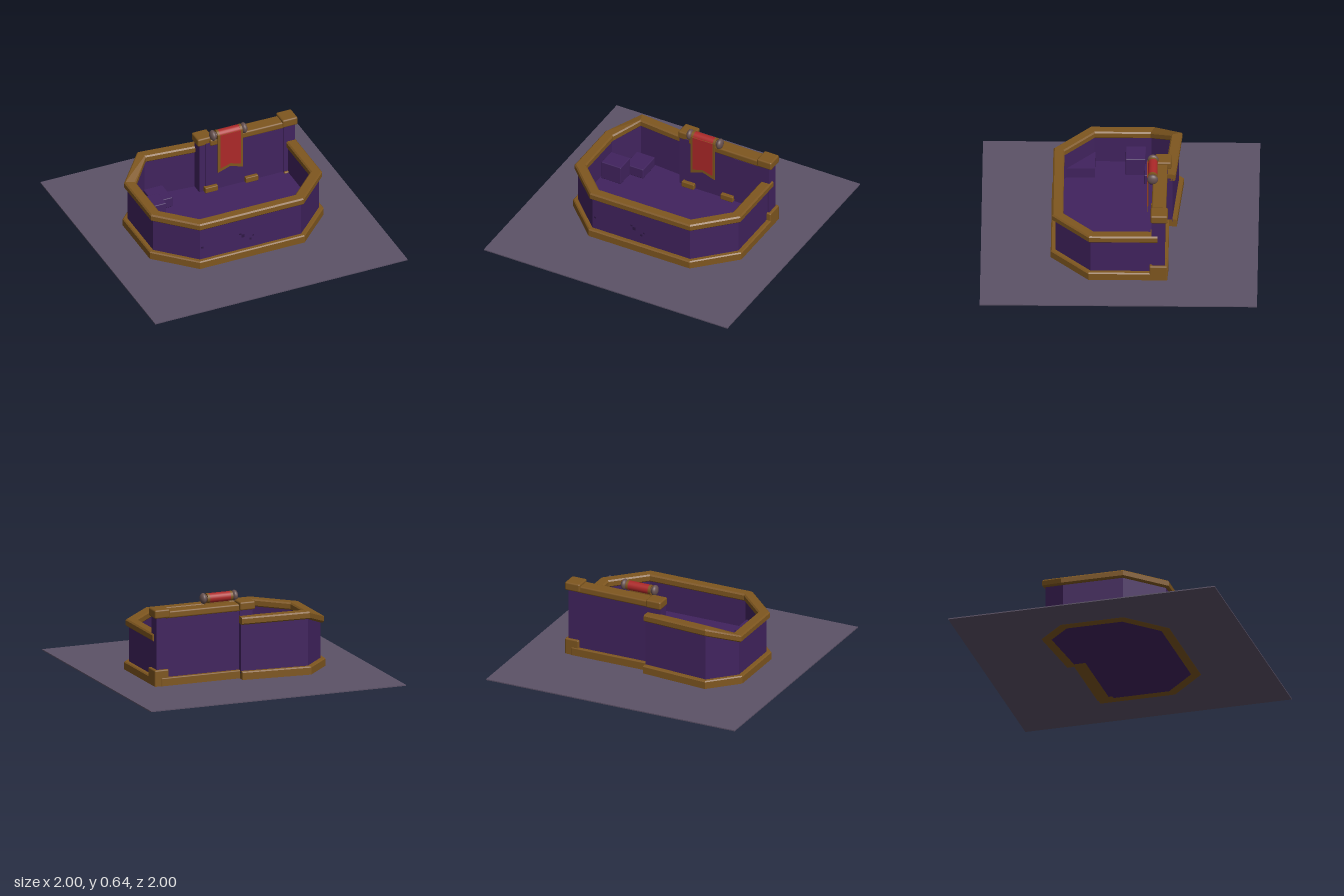
import * as THREE from 'three';
import { RoundedBoxGeometry } from 'three/addons/geometries/RoundedBoxGeometry.js';

// Outer footprint of the low wall, from the right end round the front to the back
const PATH = [[0.69, -0.28], [0.69, 0.22], [0.415, 0.495], [-0.415, 0.495],
  [-0.69, 0.225], [-0.69, -0.25], [-0.49, -0.455], [0.03, -0.41]];
// Extra height of the wall top at each path point
const RISE = [0, 0, 0, 0, 0, 0, 0.09, 0.085];

// Mitred inward offset of the path
function offsetPath(d) {
  const normal = (a, b) => {
    const l = Math.hypot(b[0] - a[0], b[1] - a[1]);
    return [-(b[1] - a[1]) / l, (b[0] - a[0]) / l];
  };
  return PATH.map((p, i) => {
    const m = normal(PATH[Math.max(i, 1) - 1], PATH[Math.max(i, 1)]);
    const j = Math.min(i, PATH.length - 2);
    const n = normal(PATH[j], PATH[j + 1]);
    const k = d / (1 + m[0] * n[0] + m[1] * n[1]);
    return [p[0] + (m[0] + n[0]) * k, p[1] + (m[1] + n[1]) * k];
  });
}

// Sweeps a bevelled rectangle (d0..d1 inward, y0..y1 up) along the path
function bandGeometry(d0, d1, y0, y1, bevel, riseBottom, riseTop) {
  const b = bevel;
  const section = [[d0 + b, y0, 0], [d0, y0 + b, 0], [d0, y1 - b, 1], [d0 + b, y1, 1],
    [d1 - b, y1, 1], [d1, y1 - b, 1], [d1, y0 + b, 0], [d1 - b, y0, 0]];
  const rails = section.map(([d, y, top]) => offsetPath(d).map((p, i) =>
    [p[0], y + RISE[i] * (top ? riseTop : riseBottom), p[1]]));
  const n = section.length, last = PATH.length - 1, pos = [];
  const tri = (...v) => v.forEach((p) => pos.push(...p));
  for (let i = 0; i < last; i++) {
    for (let j = 0; j < n; j++) {
      const s = rails[j], t = rails[(j + 1) % n];
      tri(s[i], t[i], t[i + 1]);
      tri(s[i], t[i + 1], s[i + 1]);
    }
  }
  for (let j = 1; j < n - 1; j++) {
    tri(rails[0][0], rails[j + 1][0], rails[j][0]);
    tri(rails[0][last], rails[j][last], rails[j + 1][last]);
  }
  const g = new THREE.BufferGeometry();
  g.setAttribute('position', new THREE.Float32BufferAttribute(pos, 3));
  g.computeVertexNormals();
  return g;
}

// Flat slab from an x/z outline
function slabGeometry(points, y0, y1) {
  const shape = new THREE.Shape(points.map(([x, z]) => new THREE.Vector2(x, -z)));
  const g = new THREE.ExtrudeGeometry(shape, { depth: y1 - y0, bevelEnabled: false });
  return g.rotateX(-Math.PI / 2).translate(0, y0, 0);
}

export function createModel() {
  const model = new THREE.Group();
  const mat = (name, color) => {
    const m = new THREE.MeshStandardMaterial({ color });
    m.name = name;
    return m;
  };
  const ground = mat('dusk grey', 0x5c5267);
  const purple = mat('deep purple', 0x41235e);
  const dark = mat('shadow purple', 0x2e1845);
  const wood = mat('golden wood', 0x7e561f);
  const red = mat('banner red', 0xac2828);
  const stone = mat('rod brown', 0x66504f);

  const add = (name, geometry, material, parent = model) => {
    const m = new THREE.Mesh(geometry, material);
    m.name = name;
    parent.add(m);
    return m;
  };
  // Box given by its limits, with optional rounding
  const box = (name, [x0, x1], [y0, y1], [z0, z1], material, r = 0) => {
    const s = [x1 - x0, y1 - y0, z1 - z0];
    const g = r ? new RoundedBoxGeometry(...s, 2, r) : new THREE.BoxGeometry(...s);
    g.translate((x0 + x1) / 2, (y0 + y1) / 2, (z0 + z1) / 2);
    return add(name, g, material);
  };

  // Ground and floor; the floor and footing show through underneath
  box('ground', [-1, 1], [0.002, 0.01], [-1, 1], ground);
  add('floor', slabGeometry([...offsetPath(0.07), [0.03, -0.27]], 0.0005, 0.12), purple);

  // Low wall with footing and rim
  add('footing', bandGeometry(0, 0.08, 0, 0.07, 0.008, 0, 0), wood);
  add('lowWall', bandGeometry(0.033, 0.078, 0.05, 0.35, 0.002, 0, 1), purple);
  add('rim', bandGeometry(0.01, 0.09, 0.33, 0.385, 0.01, 1, 1), wood);

  // Tall back wall
  box('tallWall', [-0.03, 0.64], [0.05, 0.53], [-0.33, -0.25], purple);
  box('tallFooting', [-0.02, 0.64], [0, 0.07], [-0.355, -0.25], wood, 0.008);
  box('leftPost', [-0.078, 0.02], [0.05, 0.53], [-0.345, -0.258], purple);
  box('rightPost', [0.58, 0.67], [0.05, 0.53], [-0.332, -0.235], purple);
  box('rightPostFooting', [0.58, 0.69], [0, 0.13], [-0.35, -0.22], wood, 0.01);
  const rail = box('tallRail', [0, 0.6], [0.505, 0.558], [-0.345, -0.24], wood, 0.012);
  rail.rotation.y = -0.01;
  box('leftCap', [-0.09, 0.03], [0.515, 0.577], [-0.37, -0.255], wood, 0.012);
  box('rightCap', [0.57, 0.69], [0.513, 0.577], [-0.352, -0.228], wood, 0.012);
  box('wallPanel', [0.37, 0.585], [0.14, 0.5], [-0.25, -0.245], purple);
  for (const x of [-0.045, 0.275]) {
    box('footPlank', [x, x + 0.1], [0.12, 0.165], [-0.26, -0.222], wood, 0.006);
  }

  // Crates and corner benches
  box('tallCrate', [-0.6, -0.44], [0.12, 0.265], [-0.18, -0.035], purple, 0.006);
  box('lowCrate', [-0.48, -0.33], [0.12, 0.2], [-0.35, -0.17], purple, 0.006);
  box('smallCrate', [0.25, 0.375], [0.12, 0.2], [0.325, 0.41], purple, 0.006);
  add('leftBench', slabGeometry([[-0.62, 0.185], [-0.41, 0.185], [-0.41, 0.43], [-0.62, 0.225]], 0.12, 0.2), purple);
  add('rightBench', slabGeometry([[0.62, 0.22], [0.4, 0.22], [0.4, 0.43]], 0.12, 0.2), purple);

  // Nicks in the front wall
  const nicks = [[-0.06, 0.18, 0.025], [-0.38, 0.167, 0.014], [0.02, 0.165, 0.012], [0, 0.14, 0.016], [-0.08, 0.2, 0.012]];
  for (const [x, y, s] of nicks) {
    box('nick', [x - s / 2, x + s / 2], [y - s / 2, y + s / 2], [0.458, 0.464], dark);
  }

  // Banner rolled over a rod
  const banner = new THREE.Group();
  banner.name = 'banner';
  banner.position.set(0.142, 0.6, -0.238);
  model.add(banner);
  const rod = (name, r, length, x, material) => add(name,
    new THREE.CylinderGeometry(r, r, length, 20).rotateZ(Math.PI / 2).translate(x, 0, 0), material, banner);
  rod('rod', 0.024, 0.26, 0, stone);
  rod('clothRoll', 0.035, 0.165, 0, red);
  for (const side of [-1, 1]) {
    rod('rollTrim', 0.036, 0.018, side * 0.09, wood);
    const knob = add('knob', new THREE.SphereGeometry(0.04, 18, 12), stone, banner);
    knob.scale.x = 0.6;
    knob.position.x = side * 0.122;
  }
  // Swallow-tailed cloth
  const cloth = (name, w, bottom, notch, z, material) => {
    const s = new THREE.Shape([[-w, 0.01], [-w, bottom], [0, notch], [w, bottom], [w, 0.01]]
      .map(([x, y]) => new THREE.Vector2(x, y)));
    const g = new THREE.ExtrudeGeometry(s, { depth: 0.006, bevelEnabled: false });
    add(name, g.translate(0, 0, z), material, banner);
  };
  cloth('clothTrim', 0.099, -0.31, -0.275, 0.032, wood);
  cloth('cloth', 0.08, -0.275, -0.25, 0.036, red);

  return model;
}
